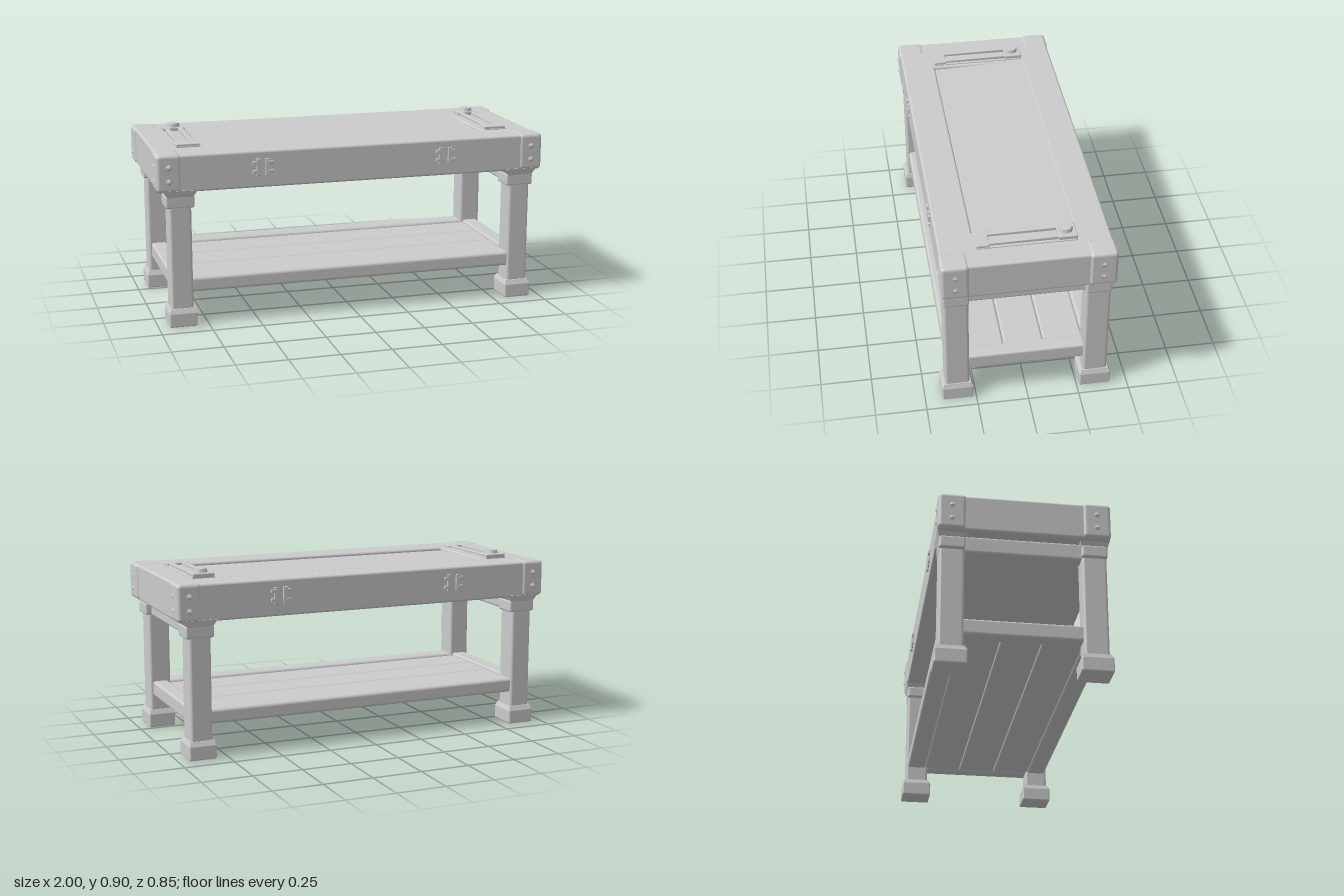
import * as THREE from 'three';
import { RoundedBoxGeometry } from 'three/addons/geometries/RoundedBoxGeometry.js';

export function createModel() {
  const model = new THREE.Group();
  const mat = new THREE.MeshStandardMaterial({ color: 0xcccccc });
  mat.name = 'pale grey';

  const add = (name, geo, parent = model) => {
    const mesh = new THREE.Mesh(geo, mat);
    mesh.name = name;
    parent.add(mesh);
    return mesh;
  };
  // Softly rounded block between two corners
  const block = (name, x0, x1, y0, y1, z0, z1, r = 0.012, parent = model) => {
    const geo = new RoundedBoxGeometry(x1 - x0, y1 - y0, z1 - z0, 2, r);
    geo.translate((x0 + x1) / 2, (y0 + y1) / 2, (z0 + z1) / 2);
    return add(name, geo, parent);
  };
  // Four-sided tapered block, sized by its bottom and top rectangles
  const taper = (name, w0, d0, w1, d1, y0, y1, x, z, parent) => {
    const geo = new THREE.BoxGeometry(1, y1 - y0, 1);
    const p = geo.attributes.position;
    for (let i = 0; i < p.count; i++) {
      const top = p.getY(i) > 0;
      p.setX(i, p.getX(i) * (top ? w1 : w0));
      p.setZ(i, p.getZ(i) * (top ? d1 : d0));
    }
    geo.computeVertexNormals();
    geo.translate(x, (y0 + y1) / 2, z);
    return add(name, geo, parent);
  };

  // Table top: a frame around a shallow sloping panel
  block('frontTopBeam', -0.98, 0.98, 0.675, 0.858, 0.235, 0.408);
  block('backTopBeam', -0.98, 0.98, 0.675, 0.858, -0.408, -0.245);
  for (const s of [-1, 1]) {
    const a = s * 0.73, b = s * 0.983;
    block('endTopBeam', Math.min(a, b), Math.max(a, b), 0.675, 0.858, -0.4, 0.4);
  }
  const panel = new THREE.BoxGeometry(1.47, 0.17, 0.49);
  panel.translate(0, 0.761, -0.005);
  const pp = panel.attributes.position;
  for (let i = 0; i < pp.count; i++) {
    if (pp.getY(i) > 0.8) pp.setY(i, pp.getZ(i) > 0 ? 0.842 : 0.857);
  }
  panel.computeVertexNormals();
  add('topPanel', panel);

  for (const sx of [-1, 1]) {
    for (const sz of [-1, 1]) {
      // Leg with foot, collar and corner cap
      const corner = new THREE.Group();
      corner.name = 'cornerLeg';
      const x = sx * 0.879, z = sz * 0.34;
      block('leg', x - 0.055, x + 0.055, 0.05, 0.69, z - 0.06, z + 0.06, 0.014, corner);
      block('foot', x - 0.069, x + 0.069, 0, 0.075, z - 0.077, z + 0.077, 0.008, corner);
      taper('footBevel', 0.136, 0.152, 0.118, 0.13, 0.07, 0.092, x, z, corner);
      block('collar', x - 0.071, x + 0.071, 0.595, 0.657, z - 0.062, z + 0.062, 0.01, corner);
      taper('collarFlare', 0.126, 0.126, 0.17, 0.146, 0.65, 0.685, x, z, corner);
      const cx = sx * 0.932, cz = sz * 0.347;
      block('cornerCap', cx - 0.06, cx + 0.06, 0.678, 0.862, cz - 0.067, cz + 0.067, 0.018, corner);
      // Pointed studs on both outer faces of the cap
      for (const y of [0.73, 0.8]) {
        const side = new THREE.ConeGeometry(0.022, 0.014, 6);
        side.rotateX(sz * Math.PI / 2);
        side.translate(cx, y, sz * 0.418);
        add('stud', side, corner);
        const end = new THREE.ConeGeometry(0.022, 0.012, 6);
        end.rotateZ(-sx * Math.PI / 2);
        end.translate(sx * 0.994, y, cz);
        add('stud', end, corner);
      }
      model.add(corner);

      // Paired straps with a cross bar and studs on the long sides
      const bracket = new THREE.Group();
      bracket.name = 'bracket';
      const bx = sx * 0.47, bz = sz * 0.41;
      for (const dx of [-0.024, 0.024]) {
        block('strap', bx + dx - 0.012, bx + dx + 0.012, 0.735, 0.82, bz - 0.006, bz + 0.006, 0.003, bracket);
        for (const y of [0.755, 0.8]) {
          block('strapStud', bx + dx * 1.6 - 0.014, bx + dx * 1.6 + 0.014, y - 0.009, y + 0.009,
            bz - 0.007, bz + 0.007, 0.003, bracket);
        }
      }
      model.add(bracket);
    }

    // End rails below the top and at shelf height
    const x = sx * 0.879;
    block('upperEndRail', x - 0.04, x + 0.04, 0.592, 0.676, -0.3, 0.3);
    block('lowerEndRail', x - 0.04, x + 0.04, 0.165, 0.242, -0.3, 0.3);

    // Clamp lying on the top: base, twin bars, end block and knob
    const clamp = new THREE.Group();
    clamp.name = 'clamp';
    const c = sx * 0.805;
    block('clampBase', c - 0.06, c + 0.06, 0.85, 0.864, -0.245, 0.235, 0.004, clamp);
    for (const dx of [-0.034, 0.034]) {
      const bar = block('clampBar', -0.013, 0.013, -0.01, 0.01, -0.215, 0.215, 0.004, clamp);
      bar.position.set(c + dx, 0.868, -0.01);
      bar.rotation.x = 0.012;
    }
    block('clampBlock', c - 0.058, c + 0.058, 0.855, 0.876, 0.17, 0.233, 0.005, clamp);
    block('clampPlate', c - 0.055, c + 0.055, 0.855, 0.882, -0.245, -0.155, 0.005, clamp);
    const knob = new THREE.CylinderGeometry(0.032, 0.038, 0.022, 8);
    knob.translate(c, 0.889, -0.194);
    add('clampKnob', knob, clamp);
    model.add(clamp);
  }

  // Lower shelf: long rails with planks between them
  for (const s of [-1, 1]) {
    block('longRail', -0.85, 0.85, 0.166, 0.24, s * 0.34 - 0.05, s * 0.34 + 0.05, 0.016);
  }
  for (let i = -1; i <= 1; i++) {
    block('shelfPlank', -0.85, 0.85, 0.17, 0.228, i * 0.195 - 0.097, i * 0.195 + 0.097, 0.012);
  }
  return model;
}
